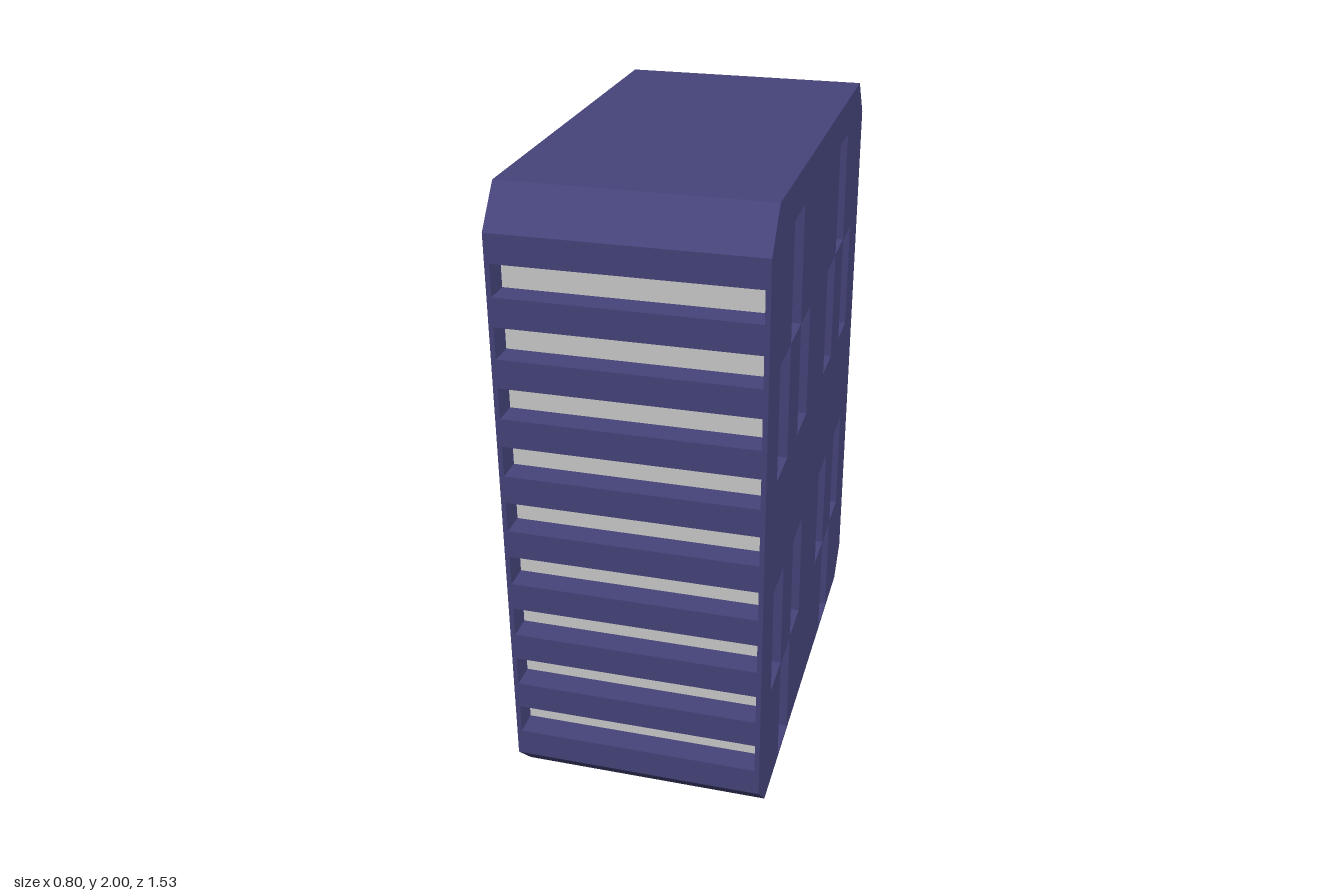
import * as THREE from 'three';
import { mergeGeometries } from 'three/addons/utils/BufferGeometryUtils.js';

const W = 0.4, D = 0.765, H = 2;          // half width, half depth, height
const TOP_Z = 0.67, LOW = 0.1, HIGH = 1.88; // chamfer edges

const wallMat = new THREE.MeshStandardMaterial({ color: 0x46447b });
const paneMat = new THREE.MeshStandardMaterial({ color: 0xcccccc });

const rect = (x0, y0, x1, y1) => [[x0, y0], [x1, y0], [x1, y1], [x0, y1]];
const toPoints = (pts) => pts.map(([x, y]) => new THREE.Vector2(x, y));

// Flat wall facing +z, with recessed grey panes behind rectangular openings
function panel(name, outline, openings = [], depth = 0) {
  const group = new THREE.Group();
  group.name = name;
  const shape = new THREE.Shape(toPoints(outline));
  const reveals = [], panes = [];
  for (const [x0, y0, x1, y1] of openings) {
    shape.holes.push(new THREE.Path(toPoints(rect(x0, y0, x1, y1)).reverse()));
    const w = x1 - x0, h = y1 - y0, cx = (x0 + x1) / 2, cy = (y0 + y1) / 2;
    for (const s of [-1, 1]) {
      reveals.push(
        new THREE.PlaneGeometry(depth, h).rotateY(-s * Math.PI / 2).translate(cx + s * w / 2, cy, -depth / 2),
        new THREE.PlaneGeometry(w, depth).rotateX(s * Math.PI / 2).translate(cx, cy + s * h / 2, -depth / 2));
    }
    panes.push(new THREE.PlaneGeometry(w, h).translate(cx, cy, -depth));
  }
  const add = (geometry, material, part) => {
    const mesh = new THREE.Mesh(geometry, material);
    mesh.name = part;
    group.add(mesh);
  };
  add(new THREE.ShapeGeometry(shape), wallMat, name + 'Wall');
  if (openings.length) {
    add(mergeGeometries(reveals), wallMat, name + 'Reveals');
    add(mergeGeometries(panes), paneMat, name + 'Panes');
  }
  return group;
}

export function createModel() {
  const model = new THREE.Group();
  model.name = 'building';

  // Front and back walls with nine long horizontal windows
  const strips = [];
  for (let i = 0; i < 9; i++) {
    const y = 0.19 + i * 0.188;
    strips.push([-0.385, y, 0.385, y + 0.098]);
  }
  for (const [name, turn, z] of [['front', 0, D], ['back', Math.PI, -D]]) {
    const wall = panel(name, rect(-W, LOW, W, HIGH), strips, 0.08);
    wall.rotation.y = turn;
    wall.position.z = z;
    model.add(wall);
  }

  // Side walls: chamfered outline, the left one with clusters of three windows
  const outline = [[-TOP_Z, 0], [TOP_Z, 0], [D, LOW], [D, HIGH],
    [TOP_Z, H], [-TOP_Z, H], [-D, HIGH], [-D, LOW]];
  const windows = [];
  for (const c of [-0.383, 0.38]) {
    for (const [pairY, singleY] of [[1.14, 1.512], [0.387, 0.012]]) {
      windows.push([c - 0.076, singleY, c + 0.076, singleY + 0.369]);
      for (const s of [-1, 1]) {
        const x = c + s * 0.153;
        windows.push([x - 0.076, pairY, x + 0.076, pairY + 0.369]);
      }
    }
  }
  const left = panel('leftSide', outline, windows, 0.06);
  left.rotation.y = Math.PI / 2;
  left.position.x = W;
  const right = panel('rightSide', outline);
  right.rotation.y = -Math.PI / 2;
  right.position.x = -W;
  model.add(left, right);

  // Roof, base and sloped edges: strips spanning the full width, as (y, z) edge pairs
  const bands = [
    ['roof', H, TOP_Z, H, -TOP_Z],
    ['base', 0, -TOP_Z, 0, TOP_Z],
    ['frontTopBevel', HIGH, D, H, TOP_Z],
    ['backTopBevel', H, -TOP_Z, HIGH, -D],
    ['backLowBevel', LOW, -D, 0, -TOP_Z],
    ['frontLowBevel', 0, TOP_Z, LOW, D],
  ];
  for (const [name, y0, z0, y1, z1] of bands) {
    const half = Math.hypot(y1 - y0, z1 - z0) / 2;
    const band = panel(name, rect(-W, -half, W, half));
    band.rotation.x = Math.atan2(z1 - z0, y1 - y0);
    band.position.set(0, (y0 + y1) / 2, (z0 + z1) / 2);
    model.add(band);
  }
  return model;
}
